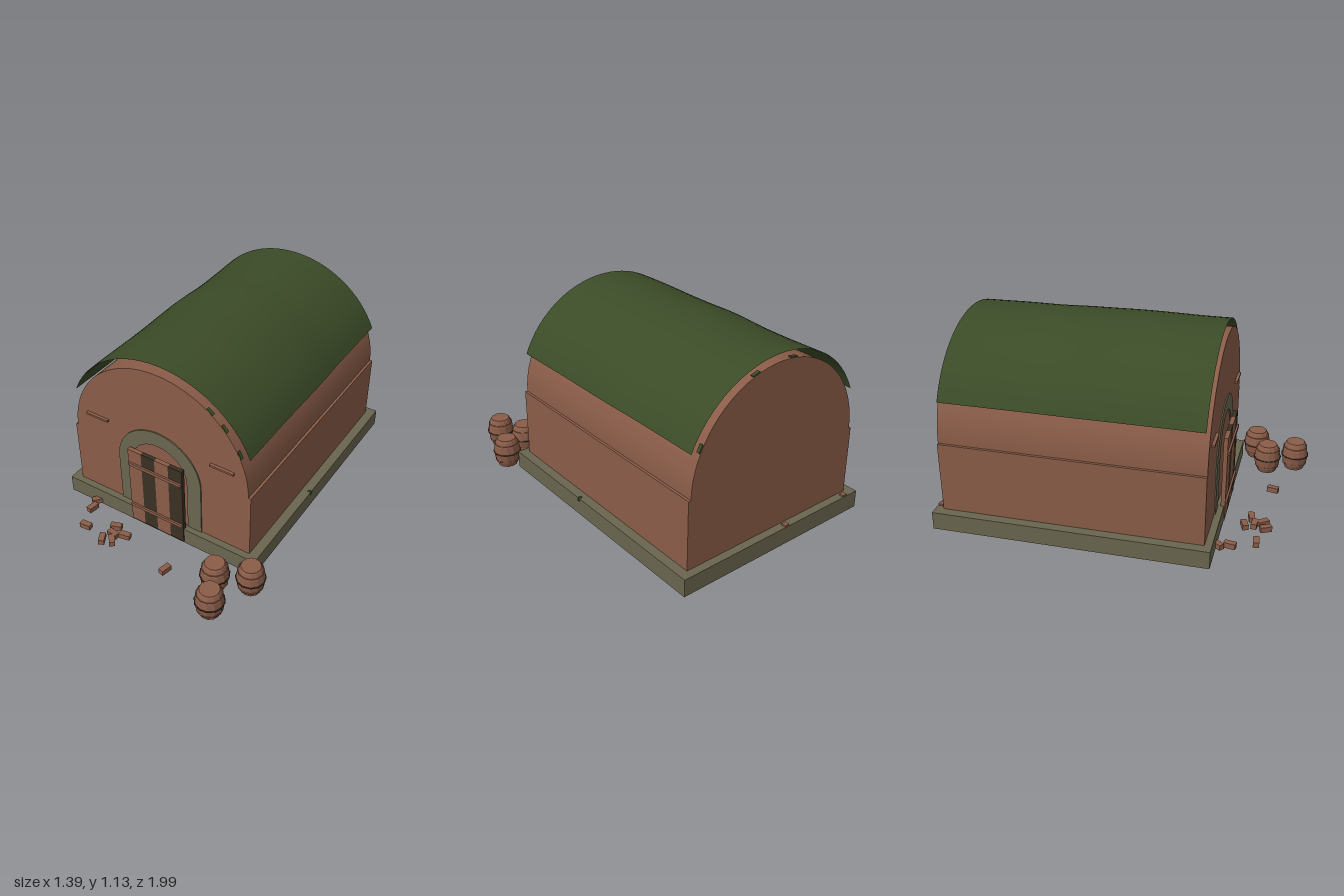
import * as THREE from 'three';

const mat = (name, color, side = THREE.FrontSide, flatShading = false) => {
  const m = new THREE.MeshStandardMaterial({ color, side, flatShading });
  m.name = name;
  return m;
};

export function createModel() {
  const model = new THREE.Group();
  model.name = 'vaultedCellar';
  const brick = mat('brick', 0x8a5c48);
  const stone = mat('stone', 0x69654f, THREE.DoubleSide);
  const moss = mat('moss', 0x3b4b27, THREE.DoubleSide);
  const darkWood = mat('darkWood', 0x3a3024);

  const add = (name, geo, material, x = 0, y = 0, z = 0, parent = model) => {
    const mesh = new THREE.Mesh(geo, material);
    mesh.name = name;
    mesh.position.set(x, y, z);
    parent.add(mesh);
    return mesh;
  };
  // box given by its limits
  const block = (name, material, x0, x1, y0, y1, z0, z1, openBottom = false) => {
    const geo = new THREE.BoxGeometry(x1 - x0, y1 - y0, z1 - z0);
    if (openBottom) {
      const index = Array.from(geo.index.array);
      index.splice(18, 6);
      geo.setIndex(index);
      geo.clearGroups();
    }
    return add(name, geo, material, (x0 + x1) / 2, (y0 + y1) / 2, (z0 + z1) / 2);
  };

  // hollow plinth, walls and barrel vault
  const cx = -0.06, springY = 0.515;
  block('plinth', stone, -0.7, 0.58, 0, 0.105, -1, 0.575, true);
  block('walls', brick, -0.645, 0.525, 0.105, springY, -0.953, 0.535, true);
  const vault = new THREE.CylinderGeometry(0.57, 0.57, 1.488, 36, 1, false, Math.PI / 2, Math.PI);
  vault.rotateX(Math.PI / 2);
  add('vault', vault, brick, cx, springY, -0.209);

  // slightly wavy mossy sheet above the vault
  const roof = new THREE.PlaneGeometry(1, 1, 32, 20);
  const p = roof.attributes.position;
  const half = 1.168;
  for (let i = 0; i < p.count; i++) {
    const a = p.getX(i) * 2 * half;
    const z = -0.21 - p.getY(i) * 1.46;
    const dip = 0.011 * THREE.MathUtils.smoothstep(-z, 0.25, 0.55) * Math.cos(a);
    const r = 0.614 - dip + 0.002 * Math.sin(z * 9 + a * 3);
    p.setXYZ(i, cx + Math.sin(a) * r, springY + 0.004 + Math.cos(a) * r, z);
  }
  // plane rows run from back to front after the mapping, so flip the winding
  const ri = roof.index.array;
  for (let i = 0; i < ri.length; i += 3) [ri[i], ri[i + 1]] = [ri[i + 1], ri[i]];
  roof.computeVertexNormals();
  const up = roof.attributes.normal.getY(Math.floor(p.count / 2));
  if (up < 0) {
    for (let i = 0; i < ri.length; i += 3) [ri[i], ri[i + 1]] = [ri[i + 1], ri[i]];
    roof.computeVertexNormals();
  }
  add('roofSheet', roof, moss);

  // moss tufts along the ends of the vault
  for (const [a, z] of [[0.62, 0.524], [0.82, 0.524], [1.1, 0.524], [0.3, -0.94], [-0.15, -0.94], [1.1, -0.94]]) {
    const tuft = add('mossTuft', new THREE.BoxGeometry(0.045, 0.008, 0.02), moss,
      cx + Math.sin(a) * 0.572, springY + Math.cos(a) * 0.572, z);
    tuft.rotation.z = -a;
  }
  add('mossClump', new THREE.IcosahedronGeometry(0.018), moss, 0.57, 0.095, -0.08);

  // stone door surround
  const arch = new THREE.Shape();
  arch.moveTo(-0.275, 0.1);
  arch.lineTo(-0.185, 0.1);
  arch.lineTo(-0.185, 0.425);
  arch.absarc(0, 0.425, 0.185, Math.PI, 0, true);
  arch.lineTo(0.185, 0.1);
  arch.lineTo(0.275, 0.1);
  arch.lineTo(0.275, 0.425);
  arch.absarc(0, 0.425, 0.275, 0, Math.PI, false);
  arch.closePath();
  add('doorSurround', new THREE.ExtrudeGeometry(arch, { depth: 0.012, bevelEnabled: false, curveSegments: 24 }),
    stone, cx, 0, 0.53);

  // plank door with two battens, alternating wood
  for (let i = 0; i < 4; i++) {
    const x = -0.24 + i * 0.09;
    block('doorPlank', i % 2 ? darkWood : brick, x, x + 0.09, 0.012, 0.54, 0.556, 0.581);
  }
  for (const y of [0.135, 0.443]) block('doorBatten', brick, -0.235, 0.117, y - 0.01, y + 0.01, 0.578, 0.592);

  // narrow ledges either side of the door
  for (const x of [-0.468, 0.352]) block('ledge', brick, x - 0.073, x + 0.073, 0.638, 0.65, 0.53, 0.552);

  // loose bricks: x, z, turn
  const brickGeo = new THREE.BoxGeometry(0.066, 0.032, 0.034);
  const loose = [
    [-0.5, 0.585, 0.9], [-0.485, 0.65, 1.4], [-0.425, 0.785, 0.1], [-0.27, 0.7, 0.35],
    [-0.25, 0.755, -0.1], [-0.225, 0.8, -0.9], [-0.28, 0.82, -1.1], [-0.185, 0.73, 0.2],
    [0.155, 0.815, 1.35],
    [0.16, -0.53, 0.4], [0.15, -0.25, 0], [0.2, 0.01, -0.1], [-0.17, -0.64, 0.8],
    [-0.41, -0.59, 1.3], [-0.31, -0.5, 0.5], [-0.29, -0.4, 0.2], [-0.17, -0.17, 0.4],
    [-0.28, -0.11, 0.1], [-0.24, -0.14, 0.9], [-0.47, -0.11, 0], [-0.31, 0.21, -0.8],
    [-0.42, 0.28, 0.1], [0, 0.34, 0.5], [-0.5, 0.5, 0.3]
  ];
  for (const [x, z, turn] of loose) {
    add('looseBrick', brickGeo, brick, x, 0.023, z).rotation.y = turn;
  }
  // chips on the rear edge of the plinth
  for (const x of [-0.605, -0.14]) block('brickChip', brick, x - 0.015, x + 0.015, 0.085, 0.115, -0.998, -0.97);

  // barrels with hoops
  const profile = [[0, 0], [0.058, 0], [0.062, 0.012], [0.075, 0.045], [0.081, 0.09],
    [0.075, 0.135], [0.062, 0.168], [0.056, 0.178], [0, 0.178]].map(([x, y]) => new THREE.Vector2(x, y));
  const bodyGeo = new THREE.LatheGeometry(profile, 12).toNonIndexed();
  bodyGeo.computeVertexNormals();
  const hoop = (r, h) => new THREE.CylinderGeometry(r, r, h, 12);
  for (const [x, z, turn] of [[0.61, 0.66, 0], [0.435, 0.745, 0.2], [0.51, 0.91, 0.4]]) {
    const barrel = new THREE.Group();
    barrel.name = 'barrel';
    barrel.position.set(x, 0, z);
    barrel.rotation.y = turn;
    model.add(barrel);
    add('barrelBody', bodyGeo, brick, 0, 0, 0, barrel);
    add('middleHoop', hoop(0.085, 0.006), darkWood, 0, 0.09, 0, barrel);
    for (const y of [0.036, 0.144]) add('endHoop', hoop(0.0745, 0.008), brick, 0, y, 0, barrel);
  }
  return model;
}
